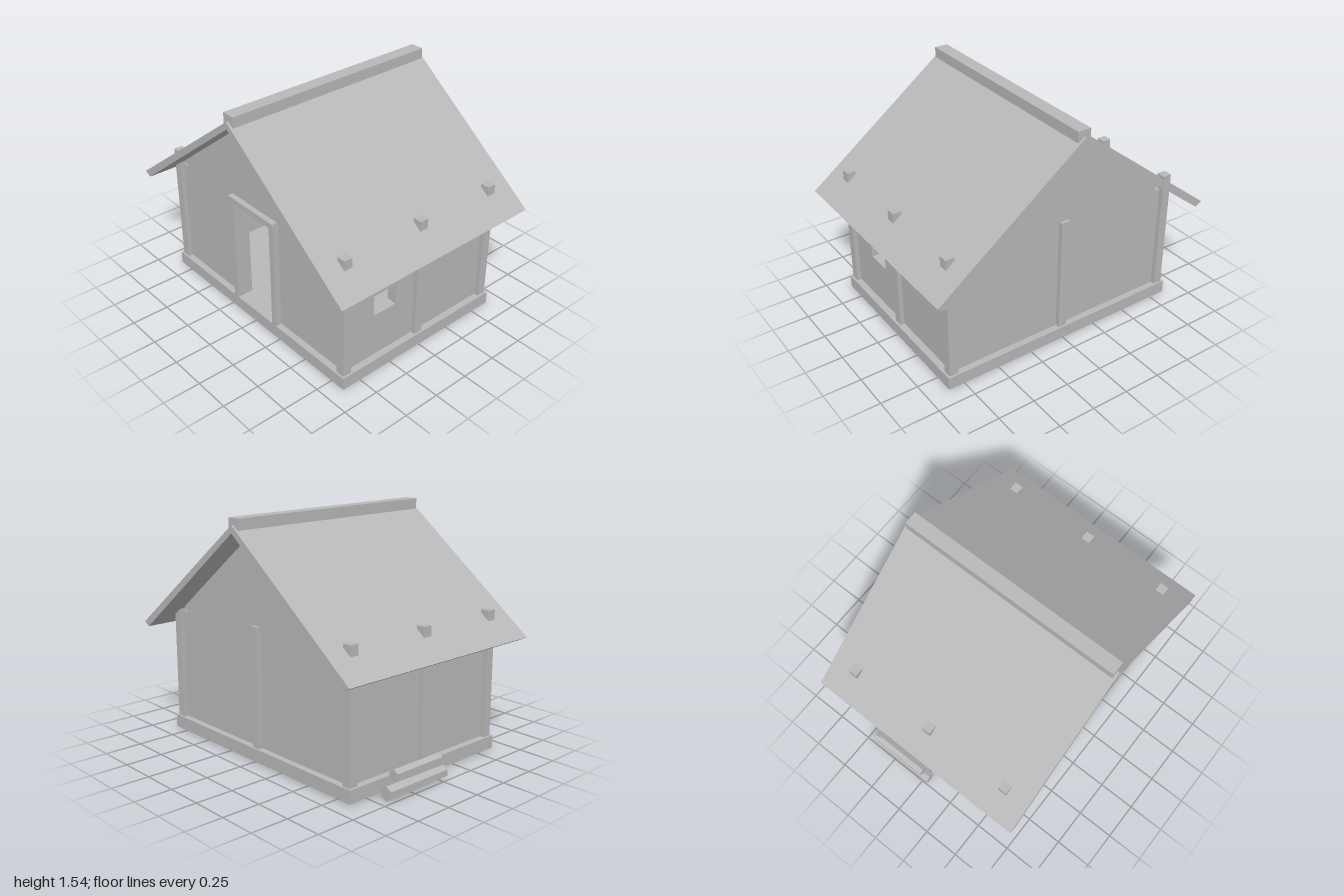
import * as THREE from 'three';

export function createModel() {
  const hut = new THREE.Group();
  hut.name = 'hut';
  const grey = new THREE.MeshStandardMaterial({ color: 0xb8b8b8 });
  grey.name = 'plainGrey';

  const add = (name, geometry) => {
    const mesh = new THREE.Mesh(geometry, grey);
    mesh.name = name;
    hut.add(mesh);
    return mesh;
  };
  // Box given by its limits on each axis
  const box = (name, x0, x1, y0, y1, z0, z1) =>
    add(name, new THREE.BoxGeometry(x1 - x0, y1 - y0, z1 - z0))
      .position.set((x0 + x1) / 2, (y0 + y1) / 2, (z0 + z1) / 2);
  // Outline in x and y, extruded from z0 to z1
  const slab = (name, points, z0, z1) => {
    const shape = new THREE.Shape(points.map(([x, y]) => new THREE.Vector2(x, y)));
    const geometry = new THREE.ExtrudeGeometry(shape, { depth: z1 - z0, bevelEnabled: false });
    add(name, geometry.translate(0, 0, z0));
  };

  // Foundation
  box('foundation', -0.86, 0.86, 0.005, 0.09, -0.638, 0.638);

  // Front wall around the doorway, and back wall
  for (const s of [-1, 1]) {
    box('frontWall', Math.min(s * 0.18, s * 0.745), Math.max(s * 0.18, s * 0.745), 0.09, 0.855, 0.525, 0.595);
  }
  box('frontWallAboveDoor', -0.18, 0.18, 0.82, 0.855, 0.525, 0.595);
  box('backWall', -0.745, 0.745, 0.09, 0.855, -0.595, -0.525);

  // Right side wall, plain
  box('sideWallPlain', -0.815, -0.745, 0.09, 0.825, -0.595, 0.595);

  // Left side wall with a window hole
  const wall = new THREE.Shape([[-0.595, 0.09], [0.595, 0.09], [0.595, 0.825], [-0.595, 0.825]]
    .map(([x, y]) => new THREE.Vector2(x, y)));
  wall.holes.push(new THREE.Path([[-0.36, 0.39], [-0.36, 0.74], [-0.18, 0.74], [-0.18, 0.39]]
    .map(([x, y]) => new THREE.Vector2(x, y))));
  const wallGeometry = new THREE.ExtrudeGeometry(wall, { depth: 0.07, bevelEnabled: false });
  add('sideWallWithWindow', wallGeometry.rotateY(Math.PI / 2).translate(0.745, 0, 0));
  box('windowShutter', 0.742, 0.82, 0.54, 0.74, 0.18, 0.36);

  // Door frame
  for (const x of [-0.2, 0.2]) box('doorJamb', x - 0.02, x + 0.02, 0.09, 0.82, 0.56, 0.638);
  box('doorLintel', -0.222, 0.222, 0.82, 0.86, 0.56, 0.643);

  // Posts, running up through the roof on both sides
  for (const x of [-0.815, 0.815]) {
    for (const z of [-0.595, 0, 0.595]) {
      box('sidePost', x - 0.03, x + 0.03, 0.09, 0.925, z - 0.03, z + 0.03);
    }
  }
  box('backPost', -0.03, 0.03, 0.09, 0.87, -0.625, -0.565);

  // Gables
  const gable = [[-0.77, 0.855], [0.77, 0.855], [0, 1.46]];
  slab('frontGable', gable, 0.535, 0.605);
  slab('backGable', gable, -0.605, -0.535);

  // Roof slopes and ridge beam
  slab('roofLeft', [[0, 1.5], [0, 1.452], [0.945, 0.722], [0.992, 0.747]], -0.772, 0.772);
  slab('roofRight', [[0, 1.5], [-0.992, 0.747], [-0.945, 0.722], [0, 1.452]], -0.772, 0.772);
  box('ridgeBeam', -0.045, 0.045, 1.47, 1.54, -0.757, 0.757);

  // Firewood logs: six-sided, slightly tapered toward the front
  const log = (name, y, rFront, rBack, z0, z1) => {
    const geometry = new THREE.CylinderGeometry(rFront, rBack, z1 - z0, 6).toNonIndexed();
    geometry.computeVertexNormals();
    geometry.rotateX(Math.PI / 2);
    add(name, geometry).position.set(-0.96, y, (z0 + z1) / 2);
  };
  log('lowerLog', 0.046, 0.04, 0.046, -0.45, 0.04);
  log('upperLog', 0.14, 0.037, 0.037, -0.39, -0.01);

  return hut;
}
